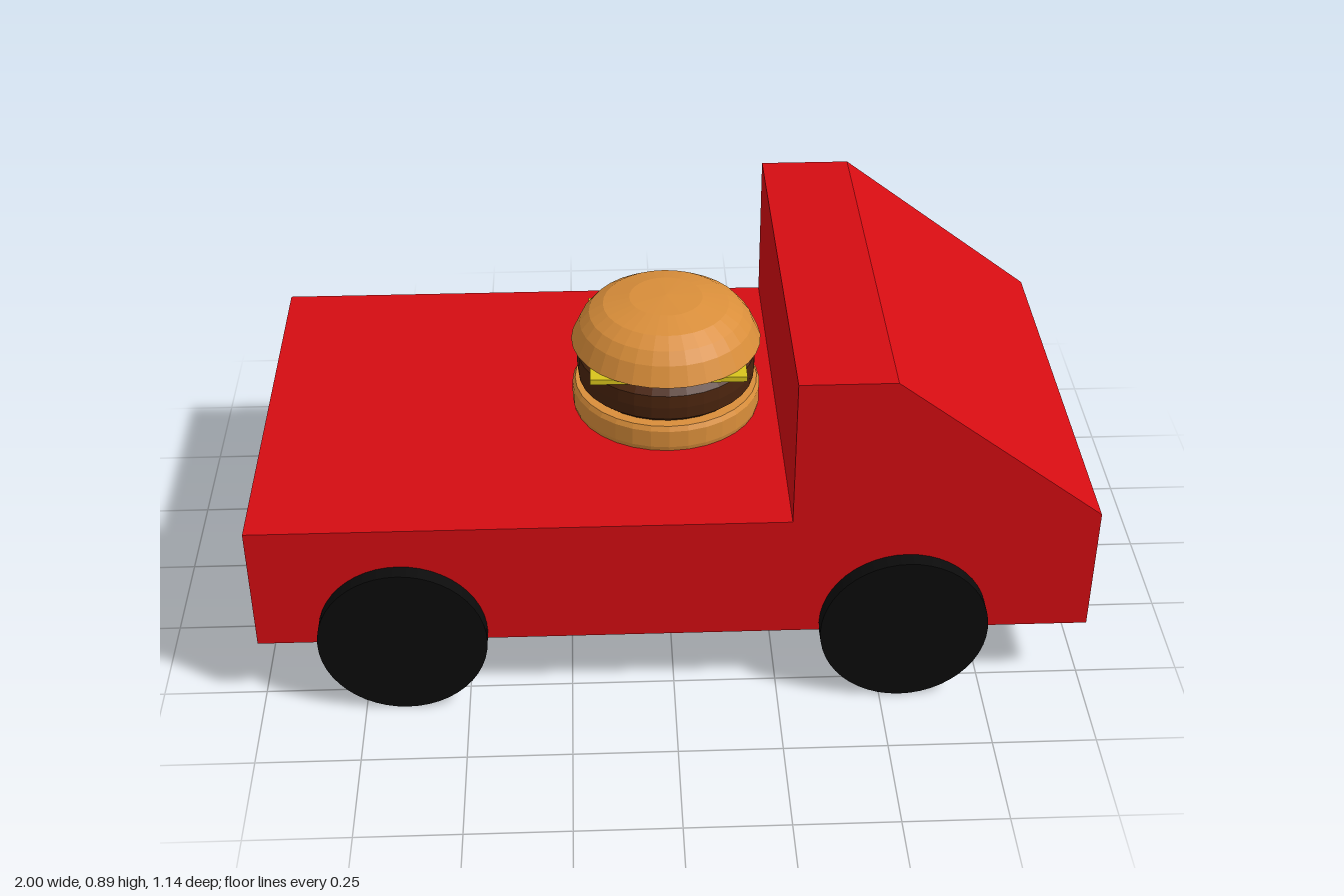
import * as THREE from 'three';

const mat = (color, flatShading = false) => new THREE.MeshStandardMaterial({ color, flatShading });

export function createModel() {
  const group = new THREE.Group();
  const add = (name, geometry, material, x = 0, y = 0, z = 0) => {
    const mesh = new THREE.Mesh(geometry, material);
    mesh.name = name;
    mesh.position.set(x, y, z);
    group.add(mesh);
    return mesh;
  };
  const lathe = (points, sides) =>
    new THREE.LatheGeometry(points.map(([r, y]) => new THREE.Vector2(r, y)), sides);

  // Truck body: side profile with flat bed, upright cab back and sloping nose
  const width = 1.06;
  const profile = new THREE.Shape([
    [-1, 0.18], [1, 0.18], [1, 0.508], [0.5, 0.89], [0.275, 0.89], [0.275, 0.508], [-1, 0.508],
  ].map(([x, y]) => new THREE.Vector2(x, y)));
  const body = new THREE.ExtrudeGeometry(profile, { depth: width, bevelEnabled: false });
  add('truckBody', body, mat(0xd40c12), 0, 0, -width / 2);

  // Wheels: plain discs standing slightly proud of the sides
  const wheel = new THREE.CylinderGeometry(0.202, 0.202, 0.1, 48).rotateX(Math.PI / 2);
  const rubber = mat(0x0b0b0b);
  for (const [end, x] of [['rear', -0.65], ['front', 0.55]]) {
    for (const [side, z] of [['Right', 0.518], ['Left', -0.518]]) {
      add(`${end}${side}Wheel`, wheel, rubber, x, 0.202, z);
    }
  }

  // Burger on the bed: bun, patty, square cheese slice and domed bun
  const bun = mat(0xd98e3a, true);
  add('bottomBun', lathe([
    [0, 0.508], [0.232, 0.508], [0.235, 0.52], [0.235, 0.565], [0.228, 0.577], [0, 0.577],
  ], 32), bun);
  add('patty', lathe([
    [0, 0.575], [0.2, 0.575], [0.219, 0.592], [0.222, 0.625], [0.22, 0.658], [0.2, 0.677], [0, 0.677],
  ], 32), mat(0x4a240e, true));
  add('cheese', new THREE.BoxGeometry(0.38, 0.014, 0.38), mat(0xd8c41c), 0, 0.684, 0);
  add('topBun', lathe([
    [0, 0.692], [0.235, 0.692], [0.213, 0.74], [0.19, 0.768], [0.155, 0.79], [0.09, 0.807], [0, 0.812],
  ], 32), bun);

  return group;
}
